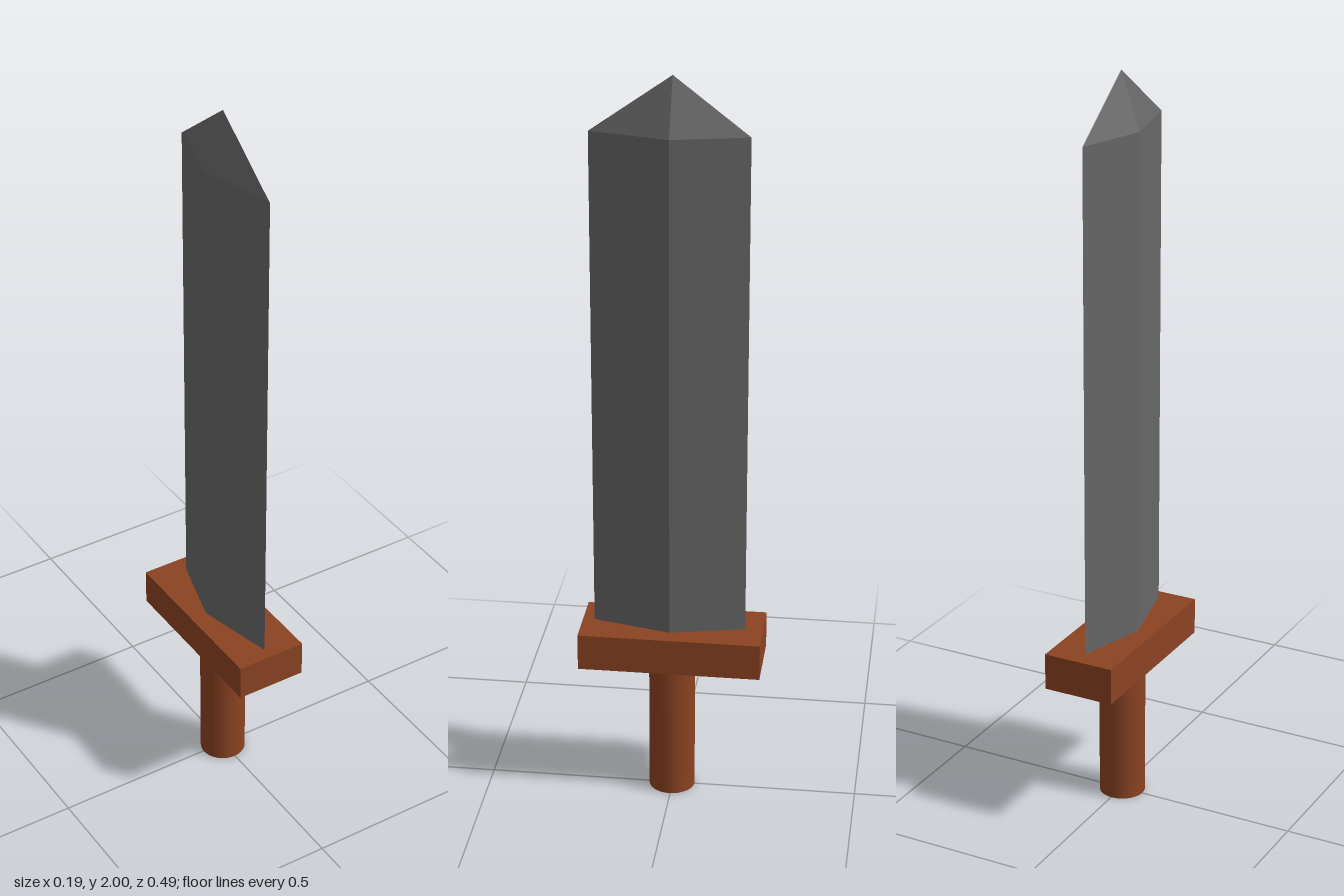
import * as THREE from 'three';

const wood = new THREE.MeshStandardMaterial({ color: 0x8b4322 });
const steel = new THREE.MeshStandardMaterial({ color: 0x666666, flatShading: true });

function addPart(group, name, geometry, material, x, y, z) {
  const mesh = new THREE.Mesh(geometry, material);
  mesh.name = name;
  mesh.position.set(x, y, z);
  group.add(mesh);
}

// Diamond-section blade closing to a four-sided point
function bladeGeometry(base, shoulder, tip) {
  const corners = [[-0.003, 0.212], [0.05, 0.003], [0.003, -0.195], [-0.052, -0.004]];
  const points = [];
  corners.forEach((a, i) => {
    const b = corners[(i + 1) % 4];
    const a0 = [a[0], base, a[1]], b0 = [b[0], base, b[1]];
    const a1 = [a[0], shoulder, a[1]], b1 = [b[0], shoulder, b[1]];
    points.push(a0, b0, b1, a0, b1, a1); // flat side
    points.push(a1, b1, [0, tip, 0]); // point facet
    points.push(b0, a0, [0, base, 0]); // underside
  });
  const geometry = new THREE.BufferGeometry();
  geometry.setAttribute('position', new THREE.Float32BufferAttribute(points.flat(), 3));
  geometry.computeVertexNormals();
  return geometry;
}

export function createModel() {
  const sword = new THREE.Group();
  sword.name = 'sword';
  addPart(sword, 'handle', new THREE.CylinderGeometry(0.062, 0.062, 0.39, 32), wood, -0.002, 0.195, 0.002);
  addPart(sword, 'guard', new THREE.BoxGeometry(0.195, 0.1, 0.486), wood, -0.001, 0.44, 0);
  addPart(sword, 'blade', bladeGeometry(0.48, 1.85, 2), steel, 0, 0, 0);
  return sword;
}
